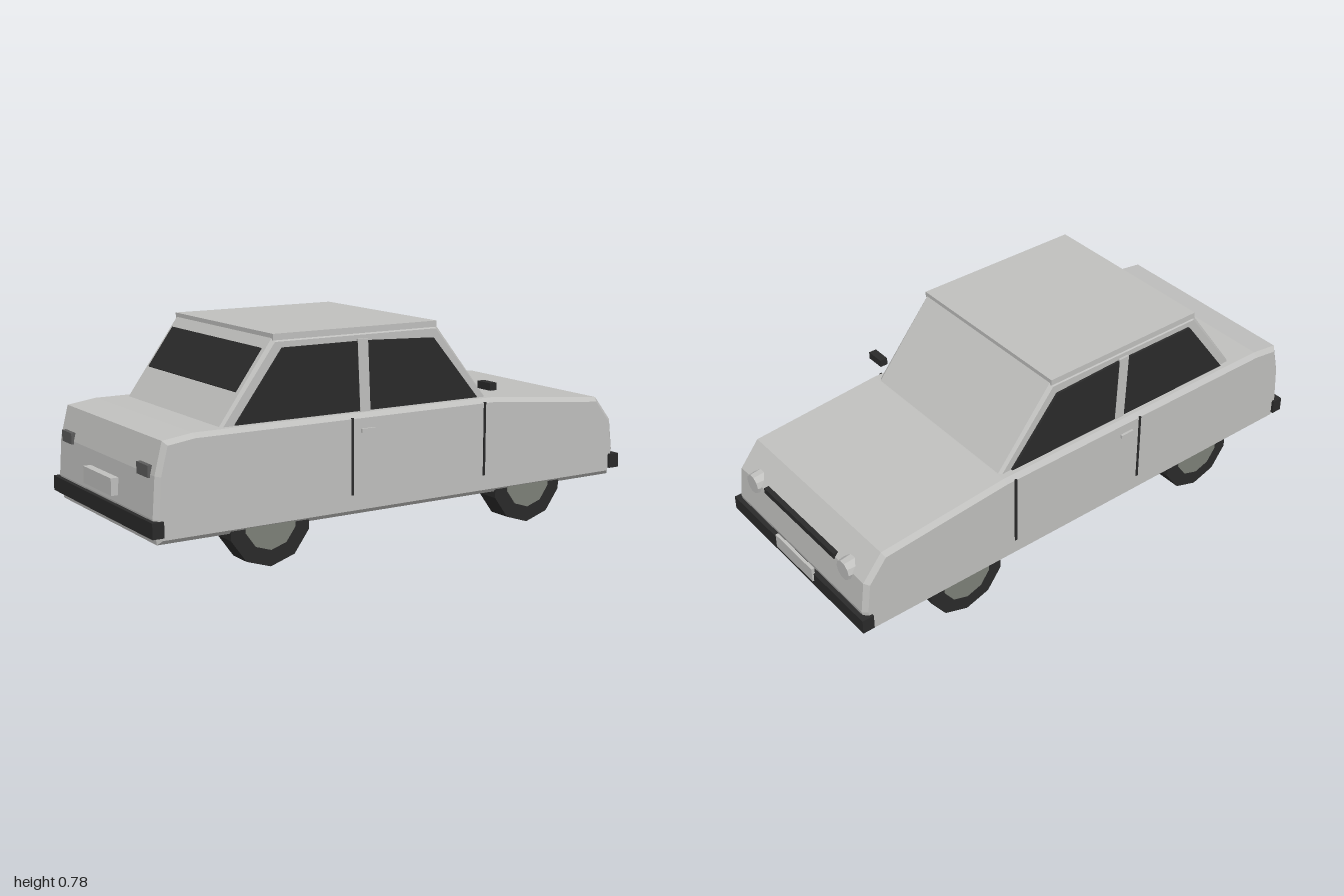
import * as THREE from 'three';

export function createModel() {
  const model = new THREE.Group();
  const car = new THREE.Group();
  car.name = 'car';
  car.position.z = -0.018; // balances the single door mirror
  model.add(car);

  const material = (name, color) => {
    const m = new THREE.MeshStandardMaterial({ color });
    m.name = name;
    return m;
  };
  const paint = material('body grey', 0xc0c0be);
  const black = material('black', 0x2a2a2a);
  const hubGrey = material('hub grey', 0x7d8078);
  const lampGrey = material('lamp dark grey', 0x5c5c5c);

  const add = (name, geometry, mat, x = 0, y = 0, z = 0) => {
    const mesh = new THREE.Mesh(geometry, mat);
    mesh.name = name;
    mesh.position.set(x, y, z);
    car.add(mesh);
    return mesh;
  };
  // Box given by its limits on each axis
  const box = (name, mat, [x0, x1], [y0, y1], [z0, z1]) =>
    add(name, new THREE.BoxGeometry(x1 - x0, y1 - y0, z1 - z0), mat,
      (x0 + x1) / 2, (y0 + y1) / 2, (z0 + z1) / 2);
  // Side profile extruded across the car with chamfered edges
  const slab = (name, mat, points, width, bevel, z = 0) => {
    const shape = new THREE.Shape(points.map(p => new THREE.Vector2(...p)));
    const g = new THREE.ExtrudeGeometry(shape, {
      depth: width - 2 * bevel, bevelEnabled: bevel > 0, bevelSegments: 1,
      bevelSize: bevel, bevelThickness: bevel, bevelOffset: -bevel,
    });
    g.translate(0, 0, bevel - width / 2);
    return add(name, g, mat, 0, 0, z);
  };

  // Lower body, cabin and roof
  slab('body', paint, [
    [-0.965, 0.133], [0.955, 0.133], [0.975, 0.228], [0.96, 0.347], [0.885, 0.44],
    [0.38, 0.487], [-0.83, 0.487], [-0.94, 0.472], [-0.968, 0.36], [-0.978, 0.22],
  ], 0.8, 0.016);
  slab('cabin', paint, [
    [-0.73, 0.468], [0.391, 0.468], [0.152, 0.765], [-0.515, 0.765],
  ], 0.722, 0.012);
  box('roof', paint, [-0.515, 0.152], [0.758, 0.78], [-0.358, 0.358]);

  // Rear window lying on the sloping back of the cabin
  const rearWindow = add('rearWindow', new THREE.BoxGeometry(0.17, 0.008, 0.655), black, -0.592, 0.662, 0);
  rearWindow.rotation.z = Math.atan2(0.297, 0.215);

  // Side windows, pillars, door seams and handles
  for (const s of [-1, 1]) {
    slab('rearSideWindow', black, [[-0.666, 0.49], [-0.178, 0.49], [-0.189, 0.733], [-0.484, 0.733]],
      0.009, 0, s * 0.3655);
    slab('frontSideWindow', black, [[-0.136, 0.49], [0.329, 0.49], [0.132, 0.722], [-0.147, 0.733]],
      0.009, 0, s * 0.3655);
    slab('doorPillar', paint, [[-0.178, 0.487], [-0.136, 0.487], [-0.147, 0.74], [-0.189, 0.74]],
      0.009, 0, s * 0.3665);
    for (const x of [-0.23, 0.34])
      box('doorSeam', black, [x - 0.004, x + 0.004], [0.205, 0.475], [s * 0.401 - 0.003, s * 0.401 + 0.003]);
    box('doorHandle', paint, [-0.195, -0.14], [0.421, 0.435], [s * 0.404 - 0.005, s * 0.404 + 0.005]);
  }
  box('doorMirror', black, [0.325, 0.355], [0.525, 0.552], [0.375, 0.448]);

  // Bumpers and number plates
  box('frontBumper', black, [0.945, 0.99], [0.16, 0.214], [-0.41, 0.41]);
  box('rearBumper', black, [-0.992, -0.95], [0.16, 0.214], [-0.41, 0.41]);
  box('frontPlate', paint, [0.985, 0.997], [0.183, 0.237], [-0.115, 0.115]);
  box('rearPlate', paint, [-1, -0.97], [0.245, 0.305], [-0.115, 0.115]);

  // Grille, headlights and tail lamps
  box('grille', black, [0.94, 0.966], [0.341, 0.363], [-0.219, 0.219]);
  for (const s of [-1, 1]) {
    const light = add('headlight', new THREE.CylinderGeometry(0.036, 0.043, 0.055, 10), paint, 0.947, 0.343, s * 0.285);
    light.material.flatShading = true;
    light.rotation.z = -Math.PI / 2;
    box('tailLamp', lampGrey, [-0.977, -0.95], [0.35, 0.39], [s * 0.311 - 0.042, s * 0.311 + 0.042]);
  }

  // Ten-sided wheels with hub discs
  black.flatShading = hubGrey.flatShading = true;
  for (const x of [-0.551, 0.552]) {
    for (const s of [-1, 1]) {
      const tyre = add('tyre', new THREE.CylinderGeometry(0.158, 0.158, 0.092, 10), black, x, 0.158, s * 0.347);
      tyre.rotation.x = Math.PI / 2;
      const hub = add('hub', new THREE.CylinderGeometry(0.1, 0.1, 0.1, 10), hubGrey, x, 0.158, s * 0.347);
      hub.rotation.x = Math.PI / 2;
    }
  }

  return model;
}
